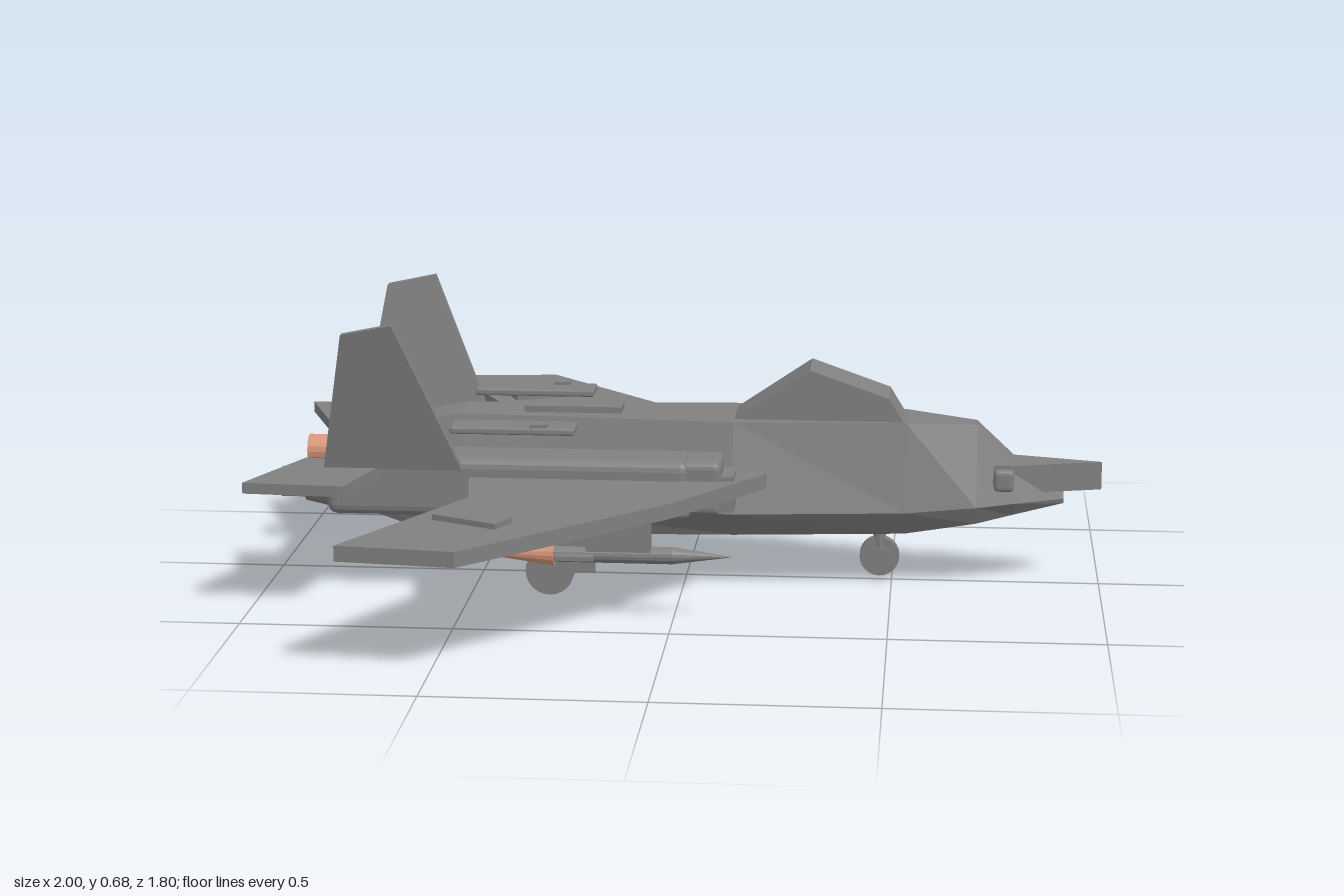
import * as THREE from 'three';
import { RoundedBoxGeometry } from 'three/addons/geometries/RoundedBoxGeometry.js';

// Twin-engine jet, nose along +x, z = span
const grey = new THREE.MeshStandardMaterial({ color: 0x808080, flatShading: true });
grey.name = 'airframe grey';
const copper = new THREE.MeshStandardMaterial({ color: 0xd8957a, flatShading: true });
copper.name = 'copper';

function add(parent, name, geometry, material = grey) {
  const mesh = new THREE.Mesh(geometry, material);
  mesh.name = name;
  parent.add(mesh);
  return mesh;
}

// Box given by its limits on each axis; r rounds the edges
function block(x0, x1, y0, y1, z0, z1, r = 0) {
  const w = x1 - x0, h = y1 - y0, d = Math.abs(z1 - z0);
  const g = r ? new RoundedBoxGeometry(w, h, d, 2, r) : new THREE.BoxGeometry(w, h, d);
  return g.translate((x0 + x1) / 2, (y0 + y1) / 2, (z0 + z1) / 2);
}

function slab(points, depth) {
  const shape = new THREE.Shape(points.map(([a, b]) => new THREE.Vector2(a, b)));
  return new THREE.ExtrudeGeometry(shape, { depth, bevelEnabled: false });
}

// Horizontal plate from [x, z] points, hanging below yTop
function plate(points, side, yTop, thickness) {
  return slab(points.map(([x, z]) => [x, z * side]), thickness)
    .rotateX(Math.PI / 2).translate(0, yTop, 0);
}

// Tapered round part along x, radius r0 at x0 and r1 at x1
function rod(x0, x1, r0, r1, y, z, sides = 16) {
  return new THREE.CylinderGeometry(r1, r0, x1 - x0, sides)
    .rotateZ(-Math.PI / 2).translate((x0 + x1) / 2, y, z);
}

// Loft through six-sided sections: x, top y, half-width, middle y, half-width, bottom y, half-width
function loft(sections) {
  const rings = sections.map(([x, ty, tw, my, mw, by, bw]) => [
    [x, ty, tw], [x, my, mw], [x, by, bw], [x, by, -bw], [x, my, -mw], [x, ty, -tw],
  ]);
  const pos = [];
  const tri = (a, b, c) => pos.push(...a, ...b, ...c);
  for (let i = 0; i < rings.length - 1; i++) {
    for (let j = 0; j < 6; j++) {
      const k = (j + 1) % 6, p = rings[i], q = rings[i + 1];
      tri(p[j], q[k], q[j]);
      tri(p[j], p[k], q[k]);
    }
  }
  const back = rings[0], front = rings[rings.length - 1];
  for (let j = 1; j < 5; j++) {
    tri(back[0], back[j + 1], back[j]);
    tri(front[0], front[j], front[j + 1]);
  }
  const g = new THREE.BufferGeometry();
  g.setAttribute('position', new THREE.Float32BufferAttribute(pos, 3));
  g.computeVertexNormals();
  return g;
}

function wheel(parent, name, x, y, z, r, strutTop) {
  const g = new THREE.Group();
  g.name = name;
  parent.add(g);
  add(g, 'tyre', new THREE.CylinderGeometry(r, r, 0.026, 24).rotateX(Math.PI / 2).translate(x, y, z));
  add(g, 'hub', new THREE.CylinderGeometry(r * 0.5, r * 0.5, 0.04, 16).rotateX(Math.PI / 2).translate(x, y, z));
  add(g, 'strut', new THREE.CylinderGeometry(0.016, 0.016, strutTop - y, 10).translate(x, (y + strutTop) / 2, z));
}

function buildSide(s) {
  const g = new THREE.Group();
  g.name = s > 0 ? 'rightHandHalf' : 'leftHandHalf';

  // Engine: nacelle, inlet and exhaust
  add(g, 'nacelle', block(-0.84, 0.03, 0.2, 0.345, 0.1 * s, 0.245 * s, 0.025));
  add(g, 'inlet', block(0.0, 0.1, 0.215, 0.345, 0.11 * s, 0.24 * s, 0.018));
  add(g, 'inletLip', block(0.09, 0.13, 0.225, 0.31, 0.12 * s, 0.235 * s));
  add(g, 'exhaustCollar', rod(-0.9, -0.83, 0.045, 0.06, 0.262, 0.165 * s));
  add(g, 'exhaust', rod(-0.96, -0.88, 0.037, 0.037, 0.262, 0.165 * s), copper);

  // Flying surfaces
  add(g, 'wing', plate([[0.2, 0.1], [0.2, 0.155], [0, 0.45], [-0.43, 0.9], [-0.7, 0.87],
    [-0.47, 0.43], [-0.5, 0.22], [-0.5, 0.1]], s, 0.3, 0.036));
  add(g, 'tailplane', plate([[-1, 0.425], [-0.76, 0.44], [-0.7, 0.2], [-0.9, 0.17]], s, 0.322, 0.026));
  const fin = slab([[-0.84, 0.32], [-0.51, 0.32], [-0.66, 0.68], [-0.78, 0.655]], 0.024).translate(0, 0, -0.012);
  const p = fin.attributes.position;
  for (let i = 0; i < p.count; i++) {
    p.setZ(i, p.getZ(i) + s * (0.25 + (p.getY(i) - 0.32) * 0.2));
  }
  fin.computeVertexNormals();
  add(g, 'fin', fin);

  // Raised panels
  add(g, 'wingPanel', new THREE.BoxGeometry(0.17, 0.014, 0.066)
    .rotateY(-0.45 * s).translate(-0.43, 0.306, 0.643 * s));
  add(g, 'nacellePanel', block(-0.54, -0.245, 0.406, 0.423, 0.165 * s, 0.252 * s, 0.005));
  add(g, 'panelKnob', block(-0.35, -0.31, 0.42, 0.431, 0.222 * s, 0.248 * s));

  // Missile under the wing
  const m = new THREE.Group();
  m.name = 'missile';
  g.add(m);
  const z = 0.398 * s, y = 0.162;
  add(m, 'pylon', block(-0.2, -0.05, 0.17, 0.27, z - 0.017, z + 0.017));
  add(m, 'missileBody', rod(-0.28, 0.0, 0.02, 0.02, y, z));
  add(m, 'missileNose', rod(0.0, 0.135, 0.02, 0.001, y, z));
  add(m, 'missileFlame', rod(-0.485, -0.275, 0.001, 0.028, y, z), copper);
  add(m, 'flatFins', block(-0.27, -0.18, y - 0.005, y + 0.005, z - 0.048, z + 0.048));
  add(m, 'uprightFins', block(-0.27, -0.18, y - 0.045, y + 0.045, z - 0.005, z + 0.005));

  wheel(g, 'mainWheel', -0.312, 0.062, 0.19 * s, 0.058, 0.22);
  return g;
}

export function createModel() {
  const jet = new THREE.Group();
  jet.name = 'jet';

  add(jet, 'fuselage', loft([
    [-0.875, 0.3, 0.075, 0.25, 0.09, 0.205, 0.075],
    [-0.84, 0.32, 0.08, 0.24, 0.1, 0.195, 0.08],
    [-0.62, 0.4, 0.06, 0.22, 0.12, 0.12, 0.08],
    [-0.54, 0.413, 0.065, 0.21, 0.125, 0.12, 0.08],
    [0.12, 0.413, 0.105, 0.2, 0.16, 0.13, 0.085],
    [0.53, 0.412, 0.075, 0.2, 0.115, 0.138, 0.07],
    [0.7, 0.4, 0.025, 0.21, 0.09, 0.165, 0.065],
    [0.79, 0.31, 0.05, 0.22, 0.08, 0.187, 0.055],
    [0.91, 0.23, 0.015, 0.22, 0.02, 0.208, 0.015],
  ]));

  // Flat pointed nose
  add(jet, 'nose', plate([[0.74, -0.06], [0.78, -0.06], [1, 0], [0.78, 0.06], [0.74, 0.06]], 1, 0.308, 0.068));
  add(jet, 'noseCollar', block(0.74, 0.79, 0.245, 0.3, -0.078, 0.078, 0.012));

  add(jet, 'canopy', slab([[0.12, 0.4], [0.12, 0.413], [0.3, 0.535], [0.49, 0.468], [0.54, 0.385]], 0.14)
    .translate(0, 0, -0.07));
  add(jet, 'spinePanel', block(-0.39, -0.155, 0.405, 0.428, -0.035, 0.035));

  wheel(jet, 'noseWheel', 0.47, 0.064, 0, 0.048, 0.16);

  for (const s of [1, -1]) jet.add(buildSide(s));
  return jet;
}
